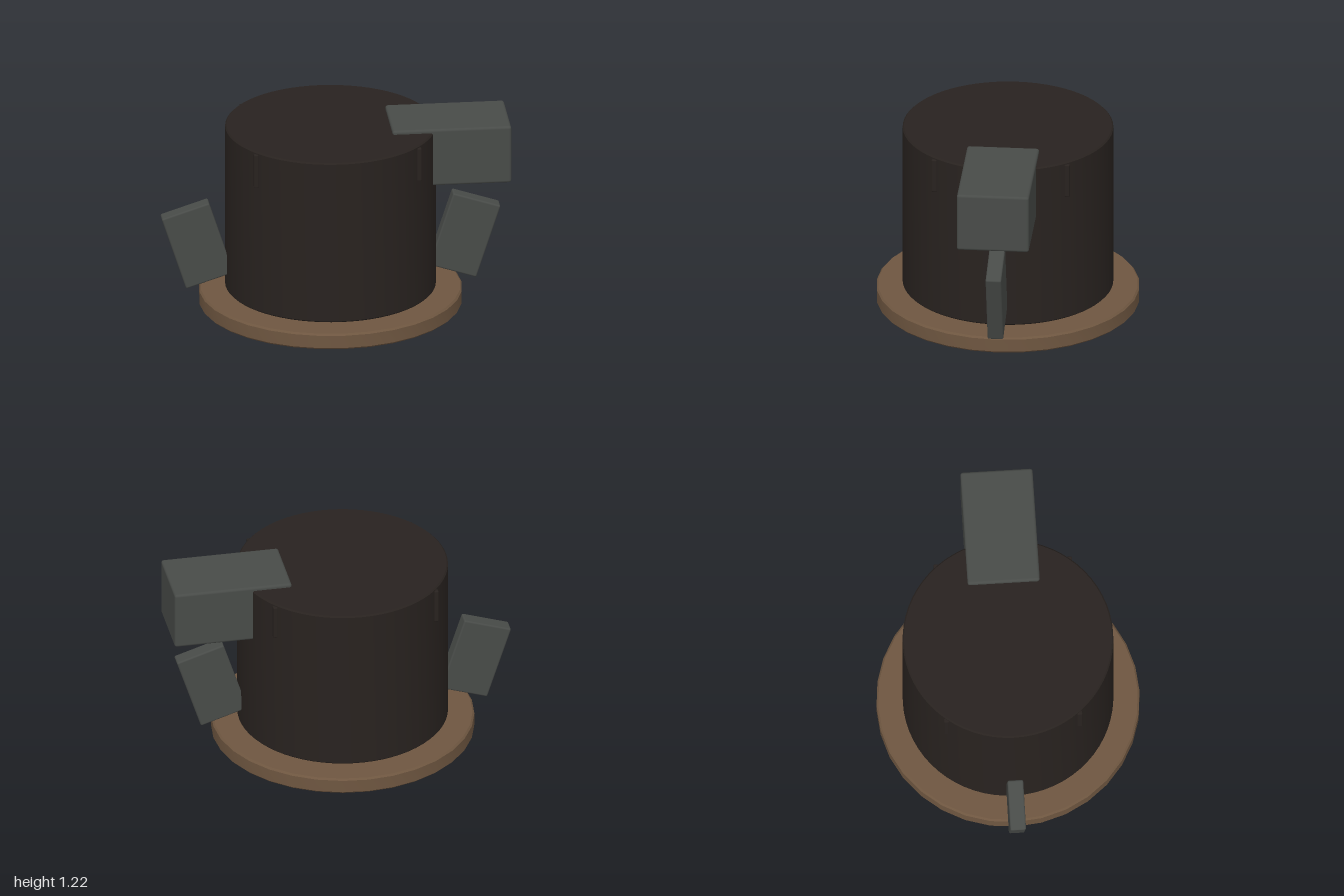
import * as THREE from 'three';
import { toCreasedNormals } from 'three/addons/utils/BufferGeometryUtils.js';
import { RoundedBoxGeometry } from 'three/addons/geometries/RoundedBoxGeometry.js';

const AXIS_X = -0.025;
const mat = (color) => new THREE.MeshStandardMaterial({ color });
const dark = mat(0x28221f), brown = mat(0x6e5640), slate = mat(0x484b48);
const cream = mat(0xe3cba8), pale = mat(0xc9c2b0);

export function createModel() {
  const model = new THREE.Group();
  const round = new THREE.Group();
  round.name = 'roundedBodyAssembly';
  round.position.x = AXIS_X;
  model.add(round);

  const add = (parent, name, geometry, material, x = 0, y = 0, z = 0) => {
    const mesh = new THREE.Mesh(geometry, material);
    mesh.name = name;
    mesh.position.set(x, y, z);
    parent.add(mesh);
    return mesh;
  };

  // Closed disc with a small bevel; rBottom and rTop allow a taper
  const disc = (name, rBottom, rTop, y0, y1, bevel, material, segments = 64) => {
    const profile = [[0, y0], [rBottom - bevel, y0]];
    if (bevel) profile.push([rBottom, y0 + bevel], [rTop, y1 - bevel]);
    profile.push([rTop - bevel, y1], [0, y1]);
    const lathe = new THREE.LatheGeometry(profile.map(([x, y]) => new THREE.Vector2(x, y)), segments);
    return add(round, name, toCreasedNormals(lathe, 0.6), material);
  };

  // Main drum, floating just above the flange
  disc('drum', 0.6, 0.6, 0.226, 1.204, 0.008, dark);
  disc('flange', 0.75, 0.75, 0.12, 0.215, 0.01, brown, 32);

  // Stepped rings under the flange, ending in the foot
  disc('darkRing', 0.54, 0.54, 0.105, 0.121, 0, dark);
  disc('brownRing', 0.52, 0.52, 0.088, 0.106, 0.003, brown);
  disc('flaredRing', 0.46, 0.425, 0.063, 0.089, 0, pale);
  disc('upperStep', 0.365, 0.365, 0.052, 0.064, 0, brown);
  disc('lowerStep', 0.33, 0.33, 0.037, 0.053, 0.002, brown);
  disc('footCollar', 0.278, 0.278, 0.018, 0.038, 0.004, cream);
  disc('foot', 0.272, 0.278, 0.002, 0.022, 0.008, cream);

  // Block overlapping the top edge of the drum
  add(model, 'sideBlock', new RoundedBoxGeometry(0.68, 0.345, 0.412, 2, 0.015), slate, 0.65, 1.0525, -0.003);

  for (const side of [-1, 1]) {
    // Slanted fin
    const fin = add(round, side > 0 ? 'leftFin' : 'rightFin',
      new RoundedBoxGeometry(0.285, 0.455, 0.09, 2, 0.01), slate, side * 0.765, 0.503, -0.002);
    fin.rotation.z = -side * Math.PI / 10;

    // Slim ribs near the top of the drum
    for (const end of [-1, 1])
      add(round, 'rib', new RoundedBoxGeometry(0.026, 0.2, 0.03, 2, 0.006), dark, side * 0.467, 1.09, end * 0.38);
  }
  return model;
}
